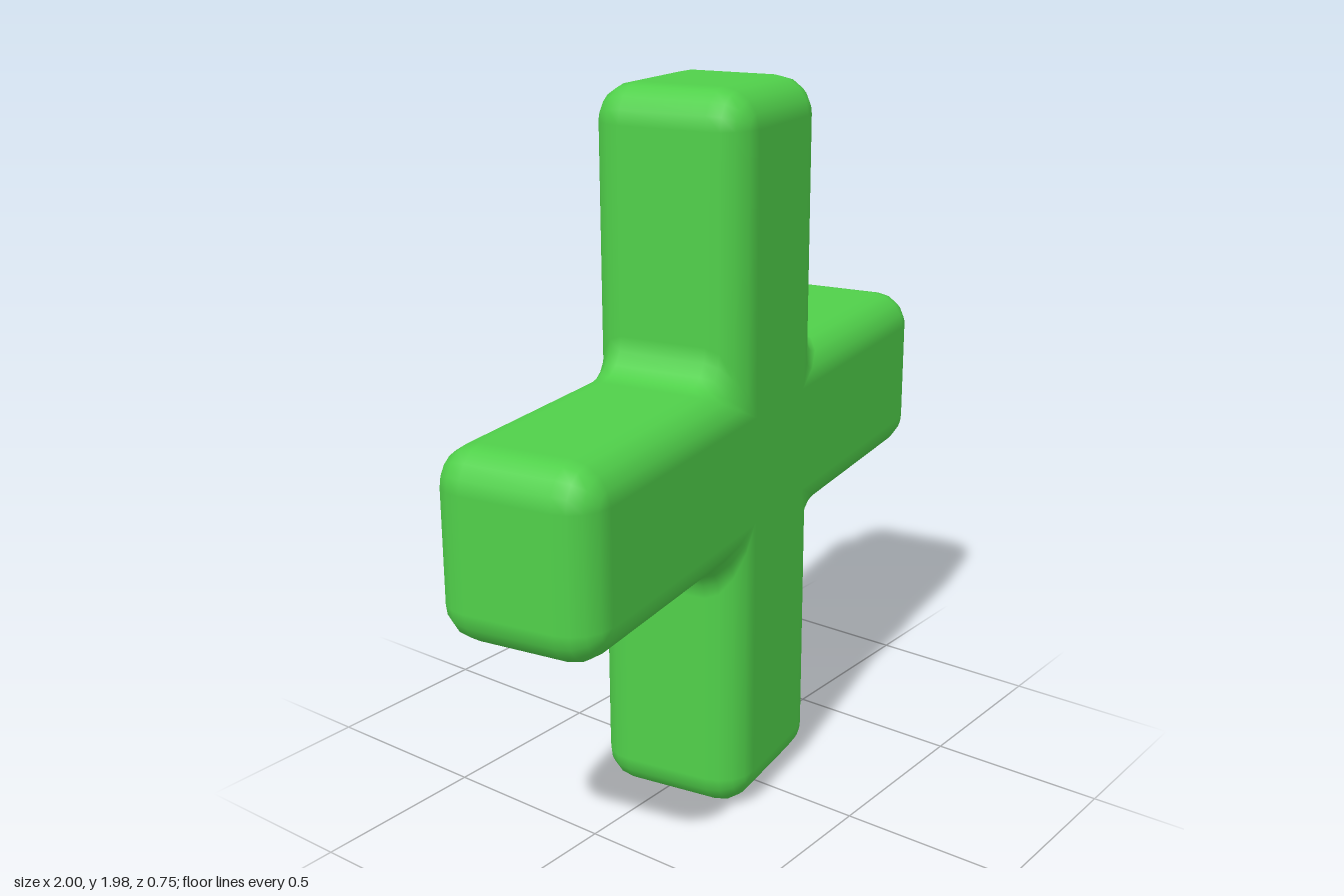
import * as THREE from 'three';

const L = 0.992;  // half length of each bar
const W = 0.247;  // half width of each bar
const T = 0.223;  // half thickness
const R = 0.1;    // edge rounding and inner fillet radius
const SEG = 4;    // segments per rounded edge

// Outline of the plus at one bevel angle: points with their surface normals
function outline(theta) {
  const c = R * Math.cos(theta);
  const fillet = W - R + 2 * c; // inner fillets taper to a point on the flat faces
  const corners = [
    // centre x, centre y, first normal angle, last normal angle, offset along normal
    [L - R, -(W - R), -90, 0, c],
    [L - R, W - R, 0, 90, c],
    [fillet, fillet, 90, 0, -c],
  ];
  const up = new THREE.Vector3(0, 0, 1);
  const points = [];
  for (let arm = 0; arm < 4; arm++) {
    const turn = arm * Math.PI / 2;
    for (const [cx, cy, from, to, offset] of corners) {
      for (let i = 0; i <= SEG; i++) {
        const a = THREE.MathUtils.degToRad(from + (to - from) * i / SEG);
        const dir = new THREE.Vector3(Math.cos(a), Math.sin(a), 0);
        const p = new THREE.Vector3(cx, cy, 0).addScaledVector(dir, offset);
        const slope = from > to ? 2 * (dir.x + dir.y) - 1 : 1;
        const n = dir.multiplyScalar(Math.cos(theta)).setZ(Math.sin(theta) * slope).normalize();
        points.push({ p: p.applyAxisAngle(up, turn), n: n.applyAxisAngle(up, turn) });
      }
    }
  }
  return points;
}

// Rings swept from back face to front face, closed by a fan on each side
function plusGeometry() {
  const position = [], normal = [], index = [];
  let count = 0;
  const rings = [];
  for (const side of [-1, 1]) {
    for (let i = 0; i <= SEG; i++) {
      const step = side < 0 ? i - SEG : i;
      rings.push({ theta: step / SEG * Math.PI / 2, side });
    }
  }
  for (const { theta, side } of rings) {
    const pts = outline(theta);
    count = pts.length;
    const z = side * (T - R) + R * Math.sin(theta);
    for (const { p, n } of pts) {
      position.push(p.x, p.y, z);
      normal.push(n.x, n.y, n.z);
    }
  }
  for (let r = 0; r < rings.length - 1; r++) {
    for (let i = 0; i < count; i++) {
      const j = (i + 1) % count;
      const a = r * count + i, b = r * count + j;
      index.push(a, b, b + count, a, b + count, a + count);
    }
  }
  // Flat back and front faces
  const back = rings.length * count, front = back + 1;
  position.push(0, 0, -T, 0, 0, T);
  normal.push(0, 0, -1, 0, 0, 1);
  const last = (rings.length - 1) * count;
  for (let i = 0; i < count; i++) {
    const j = (i + 1) % count;
    index.push(back, j, i, front, last + i, last + j);
  }
  const geometry = new THREE.BufferGeometry();
  geometry.setAttribute('position', new THREE.Float32BufferAttribute(position, 3));
  geometry.setAttribute('normal', new THREE.Float32BufferAttribute(normal, 3));
  geometry.setIndex(index);
  return geometry;
}

export function createModel() {
  const green = new THREE.MeshStandardMaterial({ color: 0x50d04a });
  green.name = 'green';

  // Rounded plus, turned slightly about its upright axis
  const plus = new THREE.Mesh(plusGeometry(), green);
  plus.name = 'plusSign';
  plus.position.y = L;
  plus.rotation.y = THREE.MathUtils.degToRad(10);

  const model = new THREE.Group();
  model.name = 'plus';
  model.add(plus);
  return model;
}
